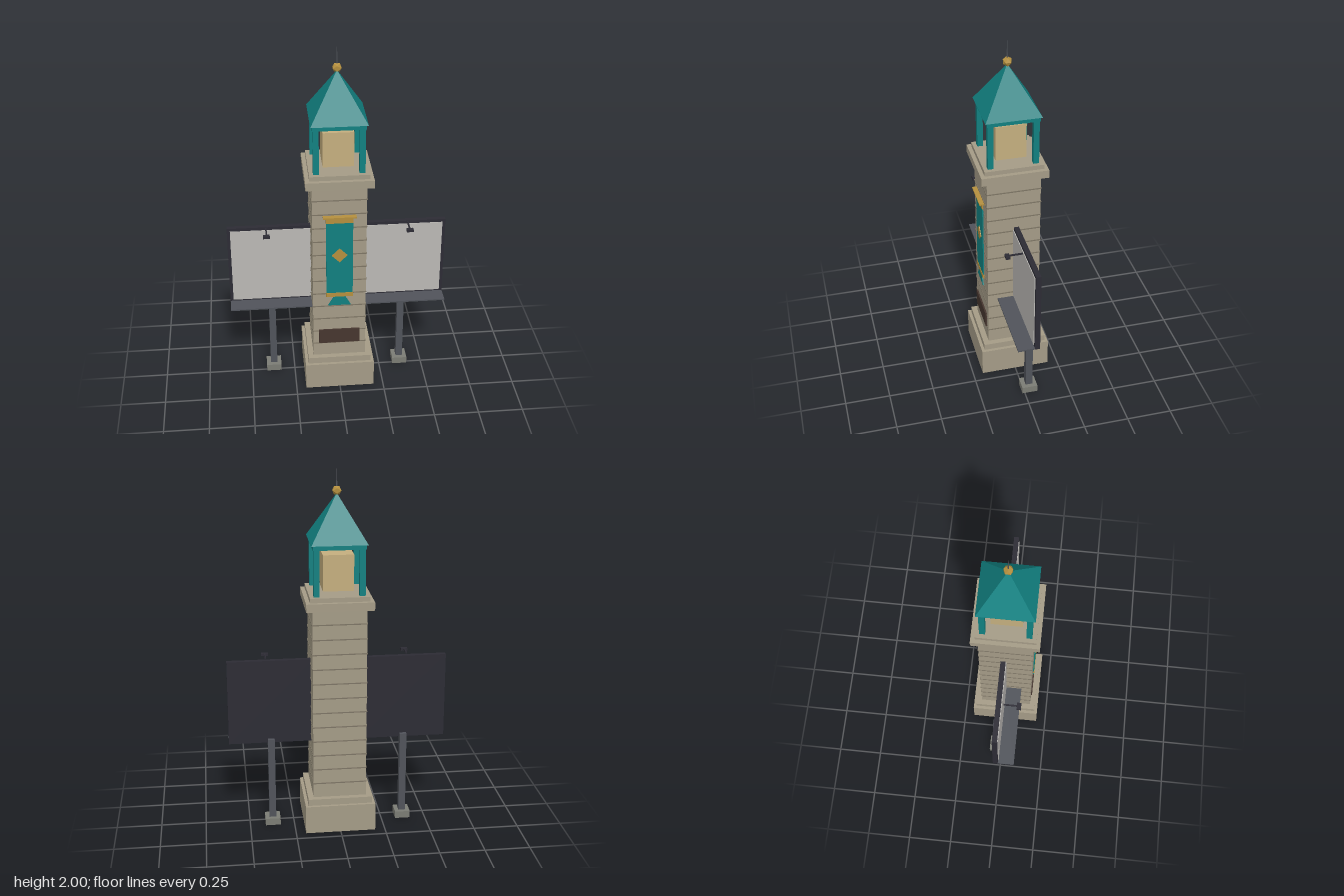
import * as THREE from 'three';

const mat = (name, color) => {
  const m = new THREE.MeshStandardMaterial({ color });
  m.name = name;
  return m;
};

export function createModel() {
  const model = new THREE.Group();
  model.name = 'clockTowerWithBillboards';

  const stone = mat('stone', 0xa49b86);
  const joint = mat('dark stone joint', 0x7d7565);
  const teal = mat('teal', 0x118080);
  const gold = mat('gold', 0xb48f3e);
  const amber = mat('lantern amber', 0xc4ae7e);
  const frame = mat('dark frame', 0x2c2b34);
  const steel = mat('steel grey', 0x50535a);
  const concrete = mat('concrete', 0x7b7c74);
  const panel = mat('pale panel', 0xbab8b4);
  const bronze = mat('plaque brown', 0x46362f);

  const add = (name, geometry, material, parent = model) => {
    const mesh = new THREE.Mesh(geometry, material);
    mesh.name = name;
    parent.add(mesh);
    return mesh;
  };
  // Box given by its limits on each axis
  const box = (name, material, [x0, x1], [y0, y1], [z0, z1], parent) => {
    const g = new THREE.BoxGeometry(x1 - x0, y1 - y0, z1 - z0);
    g.translate((x0 + x1) / 2, (y0 + y1) / 2, (z0 + z1) / 2);
    return add(name, g, material, parent);
  };
  // Square, centred block of half-width h
  const block = (name, material, h, y0, y1) => box(name, material, [-h, h], [y0, y1], [-h, h]);
  // Thin flat plate facing +z from an outline
  const plate = (name, material, points, z, depth) => {
    const shape = new THREE.Shape(points.map(([x, y]) => new THREE.Vector2(x, y)));
    const g = new THREE.ExtrudeGeometry(shape, { depth, bevelEnabled: false });
    g.translate(0, 0, z);
    return add(name, g, material);
  };

  // Stone tower
  block('base', stone, 0.195, 0, 0.16);
  block('plinth', stone, 0.178, 0.16, 0.197);
  block('shaft', stone, 0.147, 0.197, 1.28);
  for (let i = 0; i < 12; i++) {
    const y = 0.28 + i * 0.0835;
    block('stoneJoint', joint, 0.15, y - 0.003, y + 0.003);
  }
  block('cornice', stone, 0.182, 1.28, 1.325);
  block('corniceCap', stone, 0.16, 1.325, 1.35);

  // Lantern room
  block('lantern', amber, 0.083, 1.365, 1.562);
  for (const sx of [-1, 1]) for (const sz of [-1, 1]) {
    const px = sx * 0.122, pz = sz * 0.122, w = 0.0155;
    box('lanternPost', teal, [px - w, px + w], [1.35, 1.6], [pz - w, pz + w]);
  }
  block('eave', teal, 0.141, 1.6, 1.626);

  // Pyramid roof and finial
  const roof = new THREE.ConeGeometry(0.15 * Math.SQRT2, 0.25, 4, 1).toNonIndexed();
  roof.rotateY(Math.PI / 4);
  roof.translate(0, 1.75, 0);
  roof.computeVertexNormals();
  add('roof', roof, teal);
  add('finialBall', new THREE.IcosahedronGeometry(0.027, 0), gold).position.y = 1.888;
  add('spire', new THREE.CylinderGeometry(0.001, 0.004, 0.1, 6), steel).position.y = 1.95;

  // Banner on the front
  const zb = 0.151;
  box('bannerCloth', teal, [-0.073, 0.073], [0.6, 1.09], [zb, 0.157]);
  box('bannerTopTrim', gold, [-0.074, 0.074], [1.065, 1.092], [zb, 0.159]);
  box('bannerBottomTrim', gold, [-0.074, 0.074], [0.597, 0.622], [zb, 0.159]);
  plate('bannerTail', teal, [[-0.063, 0.54], [0.063, 0.54], [0.03, 0.598], [-0.03, 0.598]], zb, 0.006);
  plate('bannerDiamond', gold, [[0, 0.822], [0.043, 0.865], [0, 0.908], [-0.043, 0.865]], 0.157, 0.004);
  box('bannerRod', gold, [-0.09, 0.09], [1.1, 1.108], [0.147, 0.175]);

  // Plaque
  box('plaque', bronze, [-0.115, 0.115], [0.283, 0.372], [0.147, 0.156]);

  // Billboards on both sides
  for (const s of [-1, 1]) {
    const board = new THREE.Group();
    board.name = s > 0 ? 'leftBillboard' : 'rightBillboard';
    model.add(board);
    const span = (a, b) => (s > 0 ? [a, b] : [-b, -a]);

    box('billboardFrame', frame, span(0.13, 0.605), [0.49, 0.97], [-0.028, 0], board);
    box('billboardPanel', panel, span(0.14, 0.588), [0.508, 0.953], [0, 0.004], board);
    box('walkway', steel, span(0.13, 0.605), [0.491, 0.499], [-0.005, 0.092], board);
    box('supportPost', steel, span(0.352, 0.39), [0.04, 0.513], [-0.05, -0.011], board);
    box('footing', concrete, span(0.329, 0.414), [0, 0.04], [-0.074, 0.014], board);
    box('lampArm', frame, span(0.387, 0.395), [0.968, 0.975], [0.014, 0.09], board);
    box('lampHead', frame, span(0.373, 0.41), [0.96, 0.974], [0.086, 0.109], board);
  }

  return model;
}
